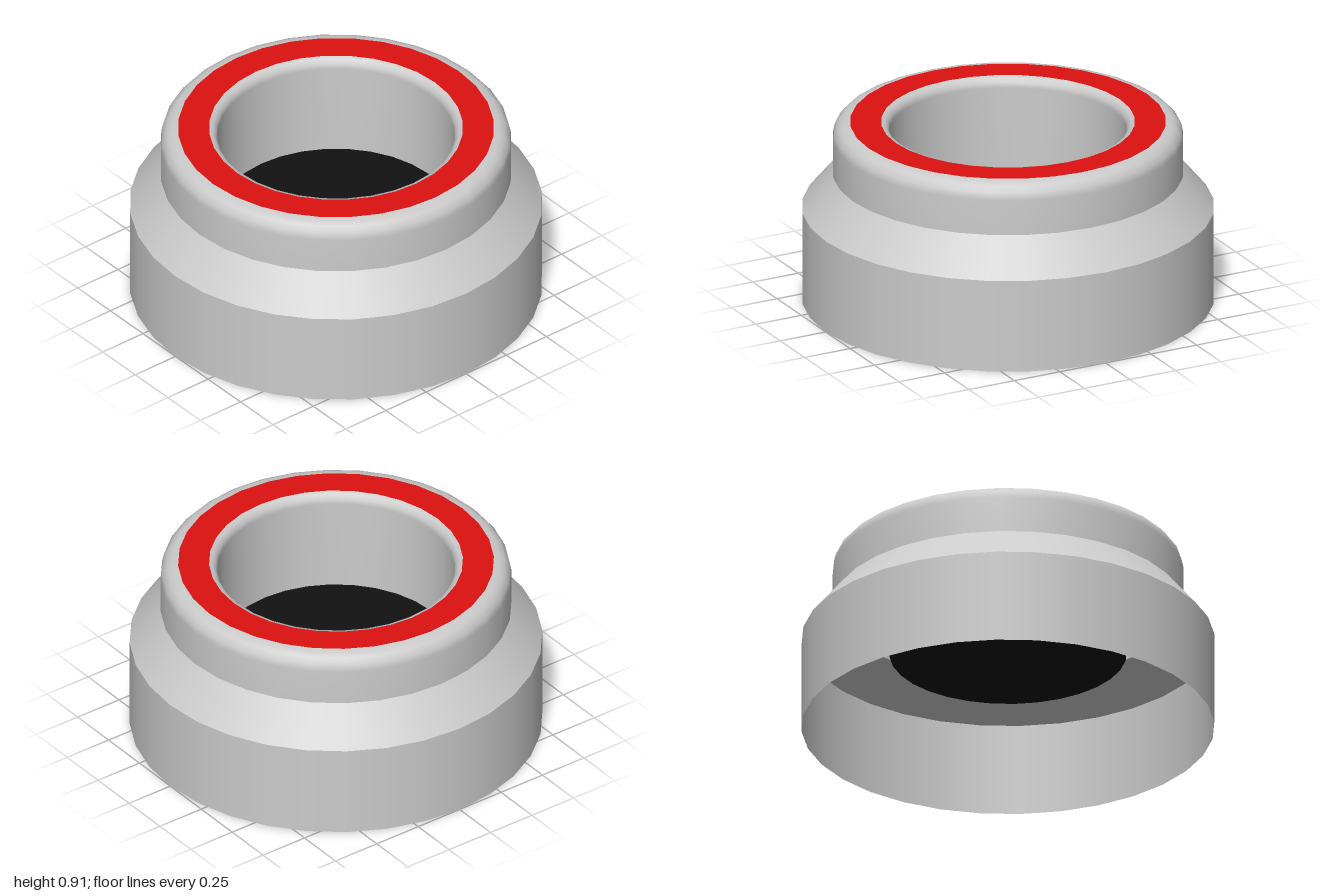
import * as THREE from 'three';

const SIDES = 32;

export function createModel() {
  const model = new THREE.Group();
  const material = (color) => new THREE.MeshStandardMaterial({ color, side: THREE.DoubleSide });
  const grey = material(0xcccccc);
  const red = material(0xdd1111);
  const black = material(0x111111);

  const add = (name, geometry, mat) => {
    const mesh = new THREE.Mesh(geometry, mat);
    mesh.name = name;
    model.add(mesh);
    return mesh;
  };
  // Each revolved band is smooth inside and creased where it meets the next.
  const band = (name, profile, mat) =>
    add(name, new THREE.LatheGeometry(profile.map(([r, y]) => new THREE.Vector2(r, y)), SIDES), mat);

  // Thin outer shell, open underneath
  band('baseWall', [[1, 0], [1, 0.47]], grey);
  band('shoulder', [[1, 0.47], [0.85, 0.65]], grey);
  band('collar', [[0.85, 0.65], [0.85, 0.83], [0.843, 0.866], [0.82, 0.893], [0.795, 0.905], [0.765, 0.91]], grey);

  // Coloured ring on the rim
  band('rimRing', [[0.765, 0.91], [0.615, 0.91]], red);

  // Well with rounded lip and dark floor
  band('wellWall', [[0.615, 0.91], [0.595, 0.903], [0.58, 0.885], [0.575, 0.86], [0.575, 0.39]], grey);
  const floor = add('wellFloor', new THREE.CircleGeometry(0.575, SIDES), black);
  floor.rotation.x = -Math.PI / 2;
  floor.position.y = 0.39;

  return model;
}
